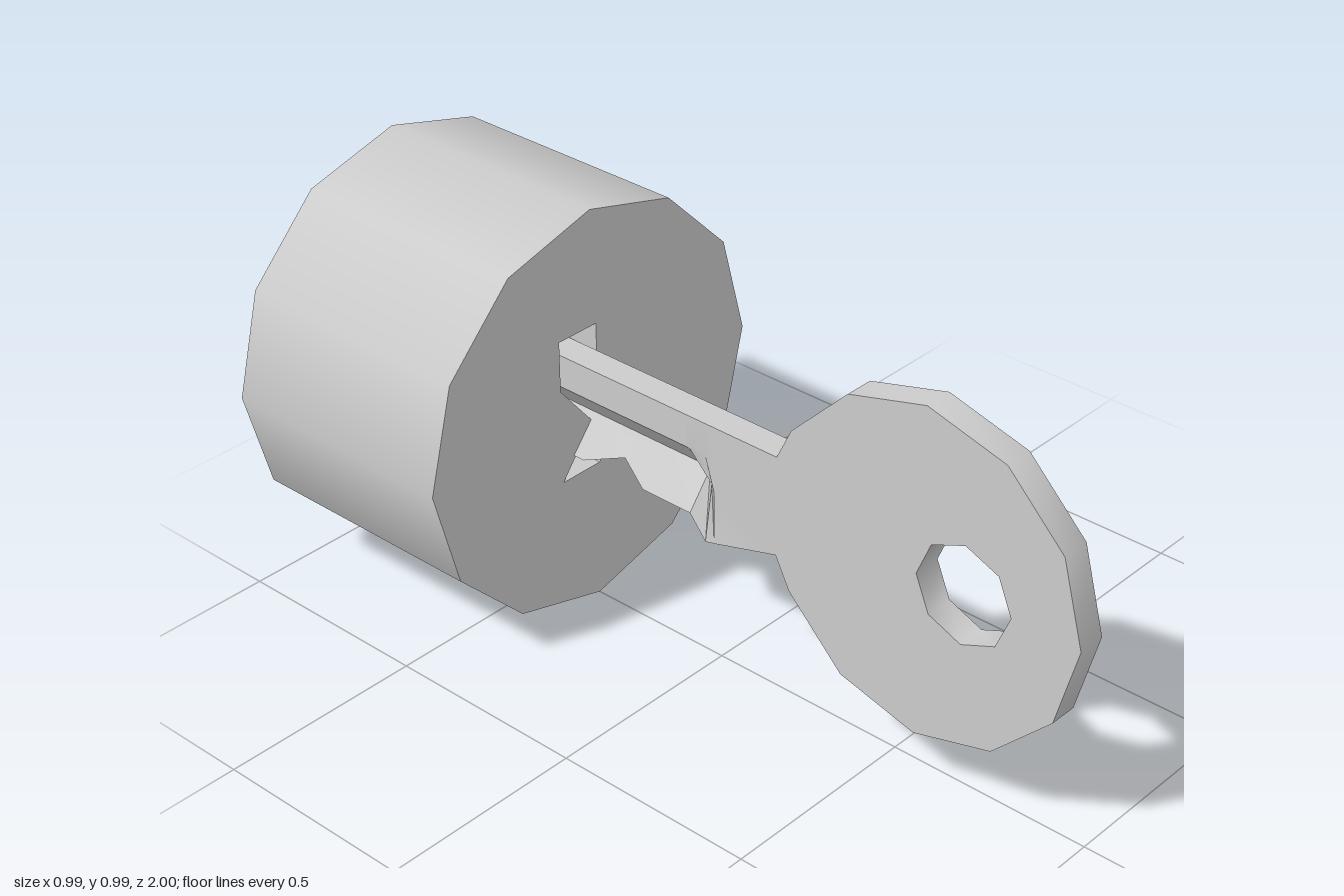
import * as THREE from 'three';
import { toCreasedNormals } from 'three/addons/utils/BufferGeometryUtils.js';

const material = new THREE.MeshStandardMaterial({ color: 0xcccccc });
const CREASE = 0.8;

function toShape(points, Type = THREE.Shape) {
  return new Type(points.map(([x, y]) => new THREE.Vector2(x, y)));
}

function polygon(cx, cy, r, sides) {
  return Array.from({ length: sides }, (_, i) => {
    const a = (i / sides) * Math.PI * 2;
    return [cx + r * Math.cos(a), cy + r * Math.sin(a)];
  });
}

// Skins rings of [x, y] points, listed clockwise, from front to back.
function loft(sections) {
  const pos = [];
  for (let k = 0; k < sections.length - 1; k++) {
    const f = sections[k], b = sections[k + 1], n = f.ring.length;
    for (let i = 0; i < n; i++) {
      const j = (i + 1) % n;
      const fi = [...f.ring[i], f.z], fj = [...f.ring[j], f.z];
      const bi = [...b.ring[i], b.z], bj = [...b.ring[j], b.z];
      pos.push(...fi, ...fj, ...bj, ...fi, ...bj, ...bi);
    }
  }
  const g = new THREE.BufferGeometry();
  g.setAttribute('position', new THREE.Float32BufferAttribute(pos, 3));
  return toCreasedNormals(g, 0.5);
}

// Blade cross-section: flat strip bent into a sideways chevron by "bend" (0..1).
function bladeRing(bend, bottom) {
  const tip = 0.07 * bend;
  const shift = bottom > 0.405 ? tip * (bottom - 0.405) / 0.085 : 0;
  return [
    [-0.07, 0.65], [0, 0.65], [0, 0.57], [tip, 0.488],
    [shift, bottom], [-0.07 + shift, bottom], [-0.07 + tip, 0.488], [-0.07, 0.57],
  ];
}

export function createModel() {
  const model = new THREE.Group();
  const add = (parent, name, geometry) => {
    const mesh = new THREE.Mesh(geometry, material);
    mesh.name = name;
    parent.add(mesh);
    return mesh;
  };

  // Lock: twelve-sided barrel with a keyhole sunk into its front
  const lock = new THREE.Group();
  lock.name = 'lock';
  model.add(lock);
  const R = 0.497, cy = 0.497, front = -0.38, back = -1, floor = -0.8;

  const barrel = new THREE.CylinderGeometry(R, R, front - back, 12, 1, true);
  barrel.rotateX(Math.PI / 2);
  add(lock, 'lockBarrel', barrel).position.set(0, cy, (front + back) / 2);

  const keyhole = [
    [-0.105, 0.71], [0.01, 0.71], [0.01, 0.585], [0.105, 0.47],
    [0.01, 0.35], [-0.105, 0.35], [-0.01, 0.47], [-0.105, 0.585],
  ];
  const face = toShape(polygon(0, cy, R, 12));
  face.holes.push(toShape(keyhole, THREE.Path));
  add(lock, 'lockFace', new THREE.ShapeGeometry(face)).position.z = front;

  const rear = add(lock, 'lockBack', new THREE.ShapeGeometry(toShape(polygon(0, cy, R, 12))));
  rear.rotation.y = Math.PI;
  rear.position.z = back;

  // Keyhole walls narrow towards the blade; reversed rings face inwards
  const end = bladeRing(1, 0.405);
  add(lock, 'keyholeWalls', loft([
    { z: front, ring: [...keyhole].reverse() },
    { z: floor, ring: [...end].reverse() },
  ]));
  add(lock, 'keyholeFloor', new THREE.ShapeGeometry(toShape(end))).position.z = floor;

  // Key
  const key = new THREE.Group();
  key.name = 'key';
  model.add(key);

  // Key head: twelve-sided disc, its rear corner cut off flat at the neck
  const outline = polygon(0.6, 0.53, 0.4, 12);
  outline.splice(6, 1, [0.215, 0.65], [0.215, 0.405]);
  const headShape = toShape(outline);
  headShape.holes.push(toShape(polygon(0.71, 0.53, 0.12, 8), THREE.Path));
  const head = new THREE.ExtrudeGeometry(headShape, { depth: 0.07, bevelEnabled: false });
  head.rotateY(-Math.PI / 2);
  add(key, 'keyHead', toCreasedNormals(head, CREASE));

  // Key blade: [z, bend, bottom height] with a shoulder and notched lower edge
  const stations = [
    [0.215, 0, 0.405], [0.04, 0, 0.356], [0.015, 0.3, 0.35], [-0.03, 0.95, 0.405],
    [-0.04, 1, 0.405], [-0.17, 1, 0.405], [-0.25, 1, 0.44], [-0.35, 1, 0.405],
    [-0.45, 1, 0.405], [-0.53, 1, 0.44], [-0.61, 1, 0.405], [floor, 1, 0.405],
  ];
  add(key, 'keyBlade', loft(stations.map(([z, bend, bottom]) => ({ z, ring: bladeRing(bend, bottom) }))));

  return model;
}
